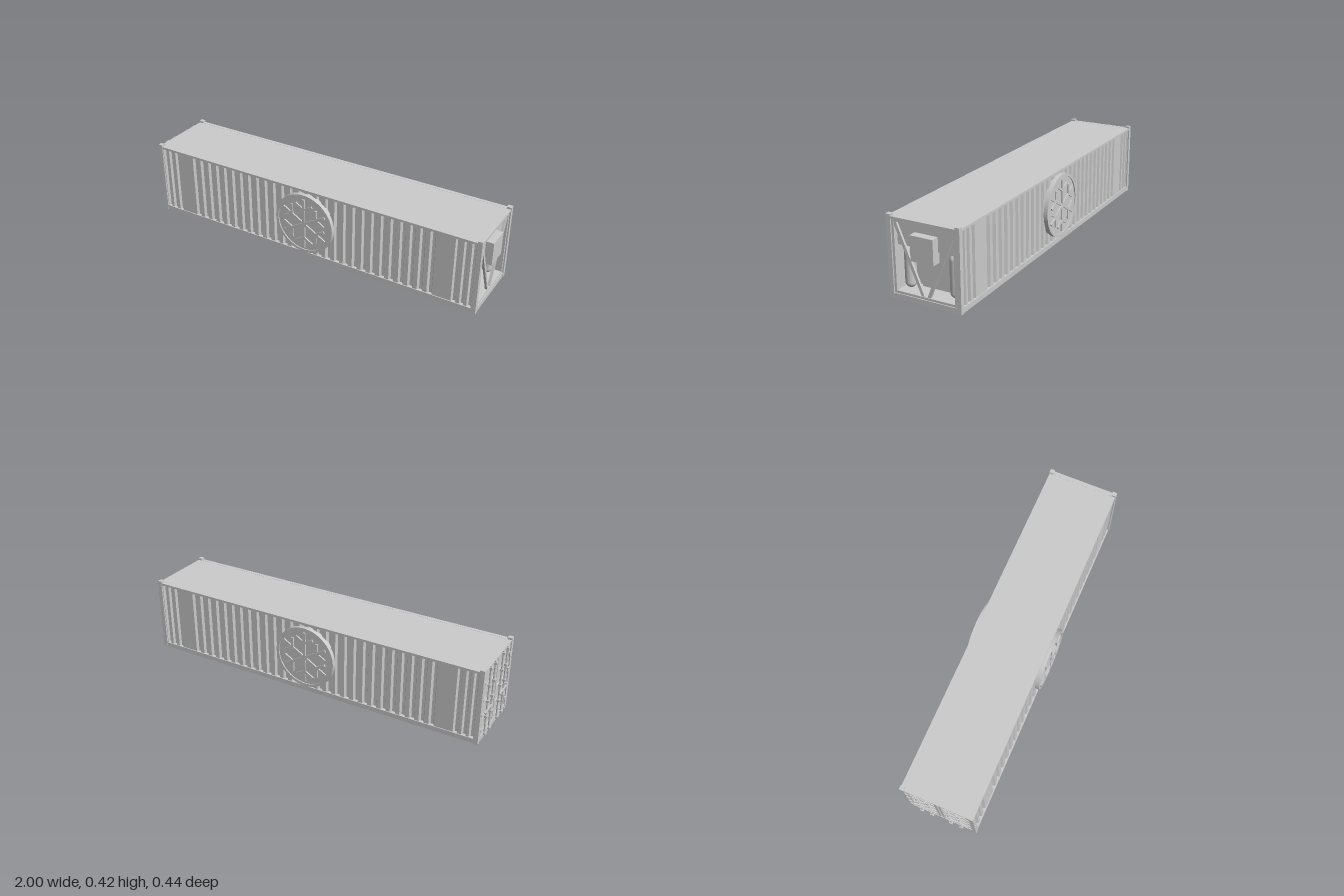
import * as THREE from 'three';

const grey = new THREE.MeshStandardMaterial({ color: 0xcccccc });

function add(parent, name, geometry, x = 0, y = 0, z = 0) {
  const mesh = new THREE.Mesh(geometry, grey);
  mesh.name = name;
  mesh.position.set(x, y, z);
  parent.add(mesh);
  return mesh;
}

// Box given by its min and max on each axis
function box(parent, name, x0, x1, y0, y1, z0, z1) {
  return add(parent, name, new THREE.BoxGeometry(x1 - x0, y1 - y0, z1 - z0),
    (x0 + x1) / 2, (y0 + y1) / 2, (z0 + z1) / 2);
}

// Corrugated walls: a plan outline with trapezoid grooves, open at the machinery end
function corrugatedBody() {
  const outer = 0.193, inner = 0.179, grooves = [];
  for (const x of [-0.95, -0.91, -0.865]) grooves.push(x);
  for (let i = 0; i < 28; i++) grooves.push(-0.735 + i * 1.47 / 27);
  for (const x of [0.865, 0.91, 0.95]) grooves.push(x);
  const side = [[-0.975, outer]];
  for (const x of grooves) {
    const w = Math.abs(x) > 0.8 ? 0.012 : 0.015;
    side.push([x - w, outer], [x - w * 0.5, inner], [x + w * 0.5, inner], [x + w, outer]);
  }
  side.push([0.975, outer]);
  const notch = [[0.975, 0.162], [0.87, 0.162], [0.87, -0.162], [0.975, -0.162]];
  const mirrored = side.map(([x, z]) => [x, -z]).reverse();
  const outline = [...side, ...notch, ...mirrored].map(p => new THREE.Vector2(...p));
  const geometry = new THREE.ExtrudeGeometry(new THREE.Shape(outline),
    { depth: 0.385, bevelEnabled: false });
  return geometry.rotateX(-Math.PI / 2);
}

// Round badge with a raised rim and a six-armed snowflake relief
function snowflakeBadge() {
  const badge = new THREE.Group();
  badge.name = 'snowflakeBadge';
  const cy = 0.216;
  add(badge, 'badgeDisc', new THREE.CylinderGeometry(0.17, 0.17, 0.025, 64).rotateX(Math.PI / 2), 0, cy, 0.1975);
  const ring = new THREE.Shape().absarc(0, 0, 0.175, 0, Math.PI * 2, false);
  ring.holes.push(new THREE.Path().absarc(0, 0, 0.16, 0, Math.PI * 2, true));
  add(badge, 'badgeRim', new THREE.ExtrudeGeometry(ring,
    { depth: 0.029, bevelEnabled: false, curveSegments: 32 }), 0, cy, 0.187);
  const flake = new THREE.Group();
  flake.name = 'snowflake';
  flake.position.set(0, cy, 0.212);
  badge.add(flake);
  for (let i = 0; i < 6; i++) {
    const arm = new THREE.Group();
    arm.name = 'snowflakeArm';
    arm.rotation.z = i * Math.PI / 3;
    flake.add(arm);
    add(arm, 'armBar', new THREE.BoxGeometry(0.014, 0.148, 0.012), 0, 0.074, 0);
    for (const s of [-1, 1]) {
      const twig = add(arm, 'armTwig', new THREE.BoxGeometry(0.013, 0.06, 0.0116), s * 0.025, 0.1, 0);
      twig.rotation.z = -s * Math.PI / 3;
    }
  }
  return badge;
}

// Cooling unit set into the +x end
function machineryEnd() {
  const unit = new THREE.Group();
  unit.name = 'coolingUnit';
  const frame = new THREE.Shape([[-0.176, 0.01], [0.176, 0.01], [0.176, 0.402], [-0.176, 0.402]]
    .map(p => new THREE.Vector2(...p)));
  frame.holes.push(new THREE.Path([[-0.162, 0.04], [-0.162, 0.388], [0.162, 0.388], [0.162, 0.04]]
    .map(p => new THREE.Vector2(...p))));
  const plate = add(unit, 'endFrame',
    new THREE.ExtrudeGeometry(frame, { depth: 0.015, bevelEnabled: false }), 0.968, 0, 0);
  plate.rotation.y = Math.PI / 2;
  box(unit, 'recessFloor', 0.86, 0.97, 0.02, 0.04, -0.165, 0.165);
  box(unit, 'recessCeiling', 0.86, 0.97, 0.388, 0.402, -0.165, 0.165);
  box(unit, 'upperHousing', 0.865, 0.958, 0.268, 0.39, -0.163, 0.163);
  box(unit, 'centrePanel', 0.865, 0.885, 0.038, 0.27, -0.083, 0.083);
  box(unit, 'controlBox', 0.95, 1.0, 0.217, 0.345, -0.063, 0.063);
  for (const s of [-1, 1]) {
    add(unit, 'gasTank', new THREE.CapsuleGeometry(0.029, 0.162, 8, 24), 0.915, 0.15, s * 0.127);
    // Diagonal brace, cut to the frame opening
    const brace = new THREE.Shape([[0.025, 0.04], [0.162, 0.367], [0.162, 0.388], [0.152, 0.388], [0.008, 0.04]]
      .map(([z, y]) => new THREE.Vector2(-s * z, y)));
    const mesh = add(unit, 'diagonalBrace',
      new THREE.ExtrudeGeometry(brace, { depth: 0.012, bevelEnabled: false }), 0.967, 0, 0);
    mesh.rotation.y = Math.PI / 2;
  }
  return unit;
}

// Double doors with ribs, lock rods and hinges on the -x end
function doorEnd() {
  const doors = new THREE.Group();
  doors.name = 'doorEnd';
  for (const s of [-1, 1]) {
    const bar = (name, x0, x1, y0, y1, a, b) =>
      box(doors, name, x0, x1, y0, y1, Math.min(s * a, s * b), Math.max(s * a, s * b));
    bar('doorPanel', -0.976, -0.965, 0.026, 0.402, 0.002, 0.176);
    for (const z of [0.004, 0.158]) bar('doorStile', -0.985, -0.97, 0.03, 0.398, z, z + 0.014);
    for (const y of [0.03, 0.117, 0.207, 0.297, 0.384])
      bar('doorRib', -0.984, -0.97, y, y + 0.014, 0.004, 0.172);
    for (const z of [0.055, 0.115]) {
      add(doors, 'lockRod', new THREE.CylinderGeometry(0.005, 0.005, 0.4, 12), -0.991, 0.212, s * z);
      for (const y of [0.022, 0.124, 0.214, 0.304, 0.4])
        bar('rodBracket', -1.0, -0.975, y - 0.006, y + 0.006, z - 0.01, z + 0.01);
    }
    bar('doorHandle', -0.998, -0.99, 0.157, 0.165, 0.05, 0.15);
    for (const y of [0.07, 0.16, 0.25, 0.34])
      bar('doorHinge', -0.992, -0.975, y - 0.009, y + 0.009, 0.16, 0.182);
  }
  return doors;
}

export function createModel() {
  const model = new THREE.Group();
  model.name = 'refrigeratedContainer';

  add(model, 'corrugatedWalls', corrugatedBody(), 0, 0.02, 0);
  box(model, 'roof', -0.985, 0.985, 0.402, 0.412, -0.195, 0.195);
  box(model, 'floor', -0.985, 0.985, 0.002, 0.026, -0.194, 0.194);

  // Frame: rails along the sides, sills and headers at the ends, corner posts
  for (const s of [-1, 1]) {
    const z0 = s > 0 ? 0.178 : -0.198, z1 = z0 + 0.02;
    box(model, 'bottomRail', -0.98, 0.98, 0.001, 0.028, z0, z1);
    box(model, 'topRail', -0.98, 0.98, 0.4, 0.4125, z0, z1);
    const x0 = s > 0 ? 0.966 : -0.988, x1 = x0 + 0.022;
    box(model, 'endSill', x0, x1, 0.001, 0.028, -0.18, 0.18);
    box(model, 'endHeader', x0, x1, 0.4, 0.4125, -0.18, 0.18);
    for (const t of [-1, 1])
      add(model, 'cornerPost', new THREE.BoxGeometry(0.025, 0.423, 0.025), s * 0.9775, 0.2115, t * 0.1875);
  }

  // A badge on each long side
  const front = snowflakeBadge(), back = snowflakeBadge();
  back.rotation.y = Math.PI;
  model.add(front, back, machineryEnd(), doorEnd());
  return model;
}
